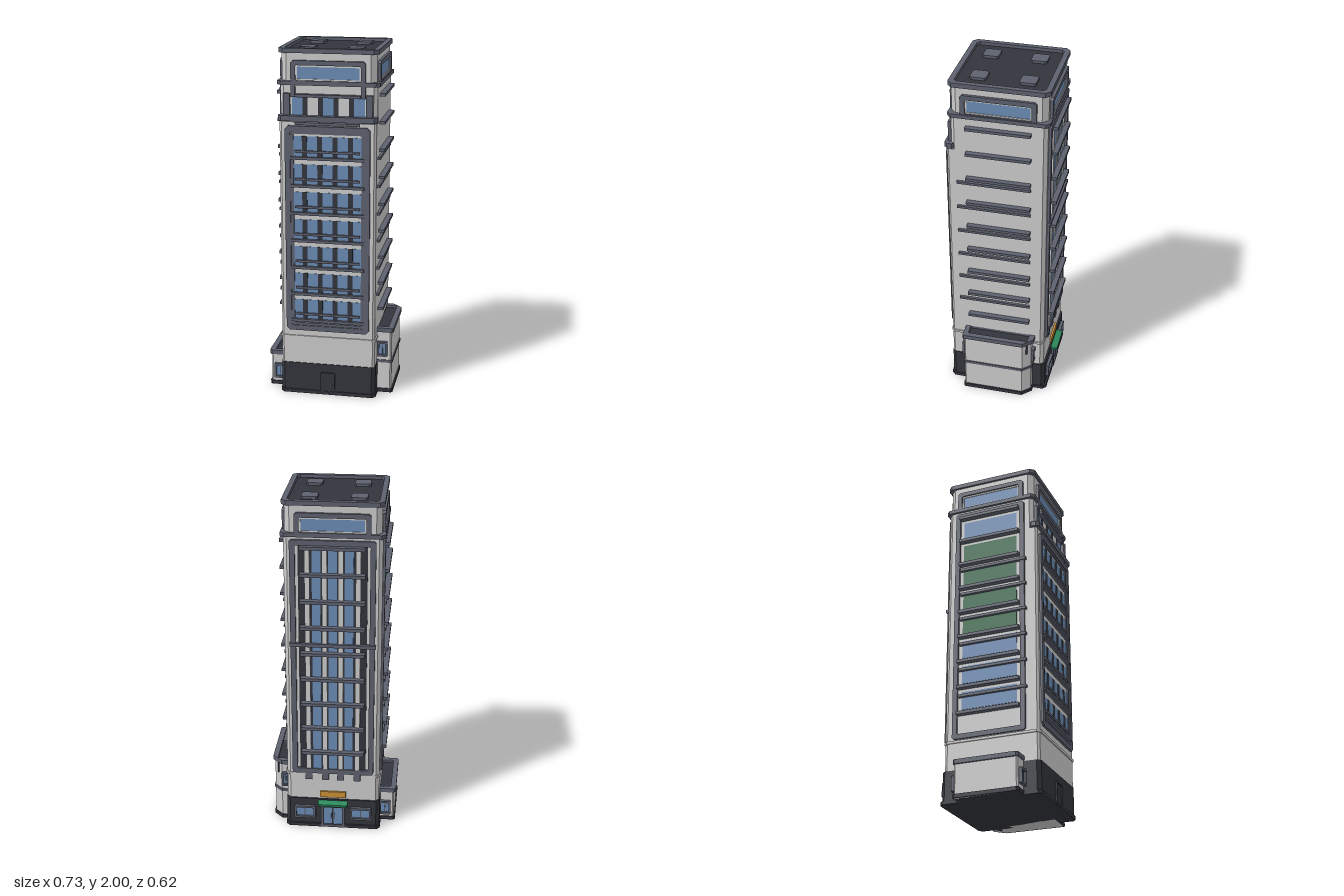
import * as THREE from 'three';

const mat = (color) => new THREE.MeshStandardMaterial({ color, flatShading: true });
const WALL = mat(0xcccccc), TRIM = mat(0x5d606e), DARK = mat(0x33353c);
const GLASS = mat(0x6a8bb4), GREEN = mat(0x2c8a5c), PANEL = mat(0x2c6a48), ORANGE = mat(0xc98f35);

// Chamfered rectangle in plan, as [x, z] points
const plan = (x0, x1, z0, z1, c) => [
  [x0 + c, z0], [x1 - c, z0], [x1, z0 + c], [x1, z1 - c],
  [x1 - c, z1], [x0 + c, z1], [x0, z1 - c], [x0, z0 + c],
].map(([x, z]) => new THREE.Vector2(x, z));

function add(parent, name, geo, material) {
  const mesh = new THREE.Mesh(geo, material);
  mesh.name = name;
  parent.add(mesh);
  return mesh;
}

// Vertical prism from a plan outline, optionally hollow
function prism(parent, name, outline, y0, y1, material, hole) {
  const shape = new THREE.Shape(outline);
  if (hole) shape.holes.push(new THREE.Path(hole));
  const geo = new THREE.ExtrudeGeometry(shape, { depth: y1 - y0, bevelEnabled: false });
  geo.rotateX(Math.PI / 2).translate(0, y1, 0);
  return add(parent, name, geo, material);
}

// Box given by its extents
function box(parent, name, x0, x1, y0, y1, z0, z1, material) {
  const geo = new THREE.BoxGeometry(x1 - x0, y1 - y0, z1 - z0);
  geo.translate((x0 + x1) / 2, (y0 + y1) / 2, (z0 + z1) / 2);
  return add(parent, name, geo, material);
}

// Upright rectangular frame with chamfered corners
function frame(parent, name, x0, x1, y0, y1, z0, z1, t, c, material = TRIM) {
  const shape = new THREE.Shape(plan(x0, x1, y0, y1, c));
  shape.holes.push(new THREE.Path(plan(x0 + t, x1 - t, y0 + t, y1 - t, c * 0.5)));
  const geo = new THREE.ExtrudeGeometry(shape, { depth: z1 - z0, bevelEnabled: false });
  geo.translate(0, 0, z0);
  return add(parent, name, geo, material);
}

// Small framed window with a centre bar
function smallWindow(parent, x, y, z, w, h) {
  frame(parent, 'windowFrame', x - w / 2, x + w / 2, y - h / 2, y + h / 2, z, z + 0.018, 0.012, 0.004);
  box(parent, 'windowGlass', x - w / 2 + 0.01, x + w / 2 - 0.01, y - h / 2 + 0.01, y + h / 2 - 0.01, z - 0.005, z + 0.006, GLASS);
  box(parent, 'windowBar', x - 0.003, x + 0.003, y - h / 2 + 0.01, y + h / 2 - 0.01, z, z + 0.01, TRIM);
}

// A side of the tower: local +z points outwards
function side(root, name, angle) {
  const g = new THREE.Group();
  g.name = name;
  g.rotation.y = angle;
  root.add(g);
  return g;
}

const W = 0.265;                                // half width of the tower
const level = (i) => 1.745 - 0.155 * i;         // main fins
const lowLevel = (i) => 1.4 - 0.158 * i;        // lower fins

function buildFront(g) {
  const z = 0.29;
  prism(g, 'frontSlab', plan(-0.27, 0.27, 0.2, z, 0.012), 0.18, 1.6, WALL);
  prism(g, 'terraceParapet', plan(-0.277, 0.277, 0.24, 0.303, 0.018), 1.605, 1.635, TRIM);
  box(g, 'frontLedge', -0.18, 0.18, 1.585, 1.6, z, 0.3, TRIM);
  frame(g, 'frontFrame', -0.238, 0.238, 0.39, 1.58, z, 0.303, 0.03, 0.018);
  frame(g, 'frontInnerFrame', -0.21, 0.21, 0.415, 1.555, z, 0.297, 0.02, 0.004);
  // Rows of five windows with double sills
  for (let r = 0; r < 8; r++) {
    const y = lowLevel(r), last = r === 7;
    const bottom = last ? 0.45 : y + 0.008, top = last ? 0.488 : y + 0.122;
    for (let i = -2; i <= 2; i++) {
      box(g, 'frontGlass', i * 0.086 - 0.03, i * 0.086 + 0.03, bottom, top, z - 0.005, z + 0.002, GLASS);
      if (i < 2) box(g, 'frontMullion', i * 0.086 + 0.029, i * 0.086 + 0.057, bottom, top, z, z + 0.004, DARK);
    }
    if (last) continue;
    box(g, 'upperSill', -0.182, 0.182, y + 0.03, y + 0.043, z, 0.302, TRIM);
    box(g, 'lowerSill', -0.208, 0.208, y - 0.008, y + 0.008, z, 0.309, TRIM);
  }
  // Terrace storey above the parapet
  for (let i = -2; i <= 2; i++) {
    box(g, 'terracePane', i * 0.086 - 0.03, i * 0.086 + 0.03, 1.63, 1.735, W, W + 0.004, i % 2 ? WALL : GLASS);
    if (i < 2) box(g, 'terraceMullion', i * 0.086 + 0.029, i * 0.086 + 0.057, 1.63, 1.735, W, W + 0.006, DARK);
  }
  for (const s of [-1, 1]) {
    box(g, 'terracePost', s * 0.23 - 0.018, s * 0.23 + 0.018, 1.62, 1.755, W, 0.285, TRIM);
    box(g, 'terraceUpperPost', s * 0.195 - 0.012, s * 0.195 + 0.012, 1.735, 1.81, W, 0.28, TRIM);
  }
  box(g, 'terraceBeam', -0.18, 0.18, 1.737, 1.753, W, 0.295, TRIM);
  // Service door
  frame(g, 'serviceDoorFrame', -0.042, 0.042, 0.005, 0.135, 0.29, 0.303, 0.008, 0.006, DARK);
  box(g, 'serviceDoor', -0.035, 0.035, 0.01, 0.128, 0.28, 0.2985, DARK);
  box(g, 'doorHandle', 0.018, 0.024, 0.05, 0.065, 0.297, 0.303, TRIM);
}

function buildBack(g) {
  frame(g, 'backFrame', -0.235, 0.235, 0.36, 1.785, W, 0.28, 0.03, 0.01);
  box(g, 'backPanel', -0.19, 0.19, 0.37, 1.775, W - 0.01, W + 0.004, DARK);
  for (const x of [-0.09, 0, 0.09]) box(g, 'backGlass', x - 0.024, x + 0.024, 0.38, 1.77, W, W + 0.008, GLASS);
  for (const x of [-0.14, -0.045, 0.045, 0.14]) {
    box(g, 'backPier', x - 0.014, x + 0.014, 0.38, 1.77, W, W + 0.012, WALL);
    box(g, 'pierFoot', x - 0.02, x + 0.02, 0.315, 0.37, W, W + 0.01, TRIM);
  }
  for (let i = 0; i < 9; i++) box(g, 'backFin', -0.18, 0.18, level(i) - 0.009, level(i) + 0.009, W, 0.304, TRIM);
  box(g, 'backMidBand', -0.24, 0.24, 1.165, 1.185, W, 0.288, TRIM);
  // Entrance
  smallWindow(g, -0.165, 0.1, 0.275, 0.125, 0.08);
  smallWindow(g, 0.165, 0.1, 0.275, 0.125, 0.08);
  frame(g, 'entranceFrame', -0.07, 0.07, 0.005, 0.15, 0.27, 0.29, 0.014, 0.004);
  for (const s of [-1, 1]) {
    box(g, 'entranceDoor', s * 0.029 - 0.024, s * 0.029 + 0.024, 0.02, 0.138, 0.27, 0.281, GLASS);
    box(g, 'doorPull', s * 0.009 - 0.003, s * 0.009 + 0.003, 0.06, 0.095, 0.275, 0.288, TRIM);
  }
  const awning = prism(g, 'awning', plan(-0.087, 0.087, 0, 0.05, 0.008), -0.008, 0.008, GREEN);
  awning.position.set(0, 0.172, 0.262);
  awning.rotation.x = 0.25;
  box(g, 'signBoard', -0.075, 0.075, 0.198, 0.236, W - 0.01, 0.276, ORANGE);
}

function buildLeft(g) {
  frame(g, 'leftFrame', -0.215, 0.215, 0.36, 1.785, W, 0.282, 0.028, 0.01);
  box(g, 'leftPanel', -0.19, 0.19, 0.37, 1.775, W - 0.01, W + 0.004, DARK);
  for (let i = 0; i < 9; i++) {
    const y = level(i);
    box(g, 'leftFin', -0.185, 0.185, y - 0.009, y + 0.009, W, 0.304, TRIM);
    if (i === 8) continue;
    const coloured = i >= 1 && i <= 4;
    box(g, 'leftPane', -0.165, 0.165, y - 0.13, y - 0.025, W, W + 0.008, coloured ? PANEL : GLASS);
    if (i >= 2) box(g, 'leftLowFin', -0.18, 0.225, lowLevel(i - 2) - 0.008, lowLevel(i - 2) + 0.008, W, 0.29, TRIM);
  }
}

function buildRight(g) {
  for (let i = 0; i < 9; i++) box(g, 'rightFin', -0.18, 0.18, level(i) - 0.008, level(i) + 0.008, W, 0.302, TRIM);
  for (let i = 0; i < 6; i++) box(g, 'rightLowFin', -0.235, 0.18, lowLevel(i) - 0.007, lowLevel(i) + 0.007, W, 0.285, TRIM);
}

function buildLeftAnnex(g) {
  prism(g, 'leftAnnexWall', plan(-0.355, -0.2, -0.165, 0.2, 0.008), 0, 0.195, WALL);
  prism(g, 'leftAnnexPlinth', plan(-0.363, -0.2, -0.17, 0.205, 0.01), 0, 0.022, DARK);
  prism(g, 'leftAnnexParapet', plan(-0.366, -0.255, -0.17, 0.205, 0.012), 0.188, 0.213, TRIM,
    plan(-0.335, -0.27, -0.14, 0.175, 0.001));
  box(g, 'leftAnnexRoof', -0.337, -0.26, -0.0, 0.198, -0.142, 0.177, DARK);
}

function buildRightAnnex(g) {
  const outline = (x, z0, z1) => [
    [0.2, z0], [0.31, z0], [x, z0 + (x - 0.31)], [x, z1 - 0.008], [x - 0.008, z1], [0.2, z1],
  ].map(([px, pz]) => new THREE.Vector2(px, pz));
  prism(g, 'rightAnnexWall', outline(0.355, -0.2, 0.197), 0, 0.38, WALL);
  prism(g, 'rightAnnexPlinth', outline(0.363, -0.208, 0.203), 0, 0.022, DARK);
  prism(g, 'rightAnnexBand', outline(0.361, -0.207, 0.202), 0.184, 0.2, TRIM);
  prism(g, 'rightAnnexParapet', outline(0.366, -0.214, 0.205), 0.372, 0.397, TRIM,
    plan(0.27, 0.335, -0.18, 0.175, 0.001));
  box(g, 'rightAnnexRoof', 0.26, 0.336, 0.3, 0.383, -0.182, 0.177, DARK);
}

export function createModel() {
  const root = new THREE.Group();
  root.name = 'towerBlock';

  // Tower shaft and base
  prism(root, 'towerShaft', plan(-0.27, 0.27, -W, W, 0.02), 0.18, 1.81, WALL);
  prism(root, 'towerBase', plan(-0.274, 0.274, -0.275, 0.295, 0.02), 0, 0.185, DARK);
  prism(root, 'basePlinth', plan(-0.278, 0.278, -0.285, 0.302, 0.02), 0, 0.02, DARK);
  prism(root, 'baseCornice', plan(-0.277, 0.277, -0.268, 0.297, 0.02), 0.34, 0.354, WALL);

  // Crown storey, cornices and roof
  prism(root, 'crownBand', plan(-0.285, 0.285, -0.28, 0.28, 0.02), 1.8, 1.822, TRIM);
  prism(root, 'crownWall', plan(-0.264, 0.264, -0.264, 0.264, 0.03), 1.82, 1.978, WALL);
  prism(root, 'roofParapet', plan(-0.277, 0.277, -0.277, 0.277, 0.025), 1.974, 2, TRIM,
    plan(-0.247, 0.247, -0.247, 0.247, 0.015));
  prism(root, 'roof', plan(-0.25, 0.25, -0.25, 0.25, 0.015), 1.97, 1.982, DARK);
  for (const x of [-0.135, 0.135]) for (const z of [-0.135, 0.135])
    prism(root, 'roofUnit', plan(x - 0.045, x + 0.045, z - 0.045, z + 0.045, 0.01), 1.98, 1.997, TRIM);

  const sides = [
    side(root, 'frontSide', 0), side(root, 'backSide', Math.PI),
    side(root, 'rightFacade', Math.PI / 2), side(root, 'leftFacade', -Math.PI / 2),
  ];
  // Wide crown window on every side
  for (const g of sides) {
    frame(g, 'crownFrame', -0.207, 0.207, 1.8, 1.935, 0.26, 0.28, 0.026, 0.012);
    frame(g, 'crownInnerFrame', -0.184, 0.184, 1.822, 1.912, 0.26, 0.271, 0.012, 0.003, WALL);
    box(g, 'crownGlass', -0.173, 0.173, 1.832, 1.902, 0.25, 0.267, GLASS);
  }
  buildFront(sides[0]);
  buildBack(sides[1]);
  buildRight(sides[2]);
  buildLeft(sides[3]);

  buildLeftAnnex(root);
  buildRightAnnex(root);
  // Annex windows, front and back
  smallWindow(sides[0], -0.302, 0.09, 0.2, 0.068, 0.09);
  smallWindow(sides[1], 0.302, 0.09, 0.17, 0.068, 0.09);
  smallWindow(sides[0], 0.303, 0.27, 0.197, 0.06, 0.09);
  smallWindow(sides[1], -0.288, 0.27, 0.199, 0.045, 0.09);
  return root;
}
